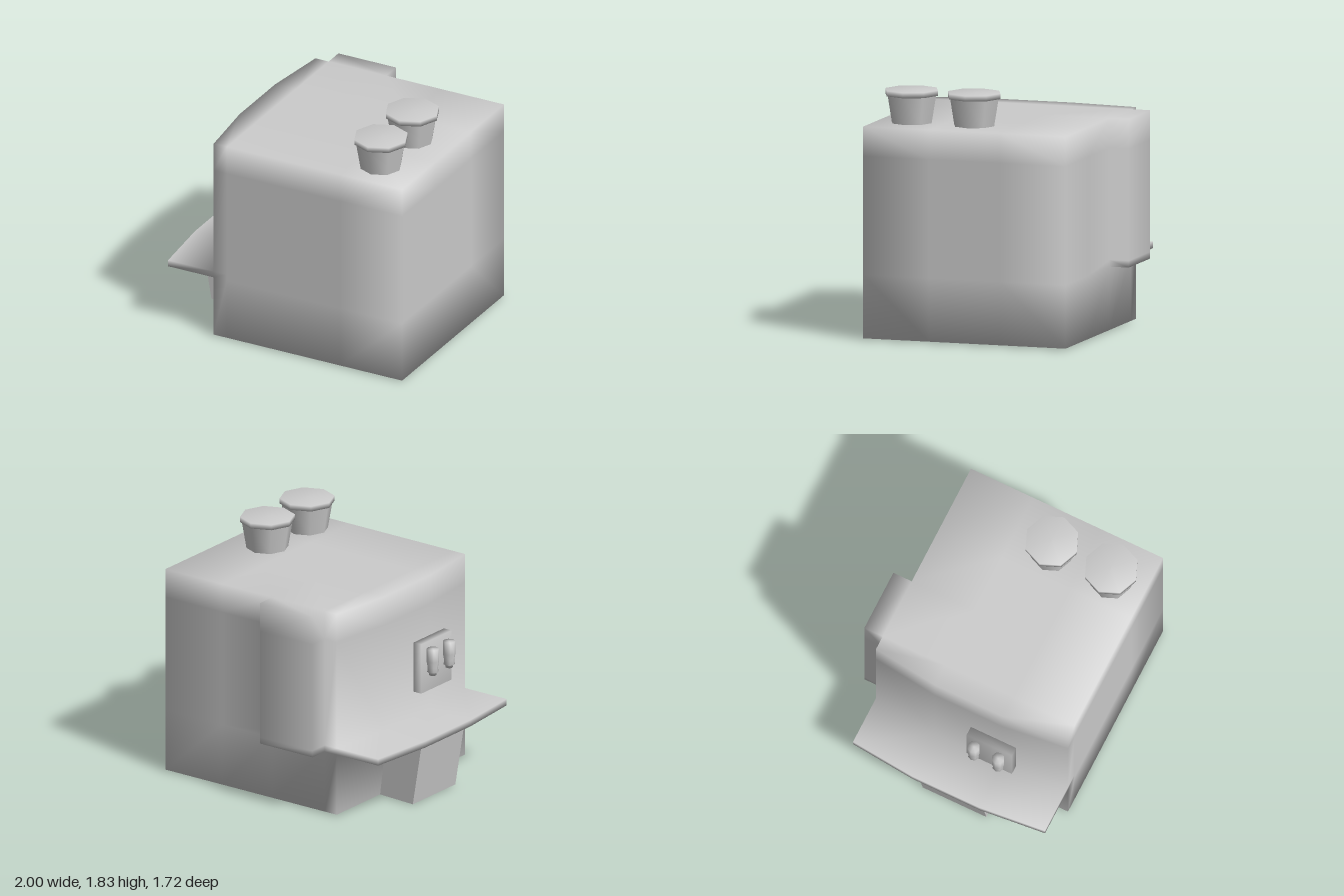
import * as THREE from 'three';
import { mergeVertices } from 'three/addons/utils/BufferGeometryUtils.js';

const mat = new THREE.MeshStandardMaterial({ color: 0xcccccc, side: THREE.DoubleSide });

function add(parent, name, geometry, x = 0, y = 0, z = 0) {
  const mesh = new THREE.Mesh(geometry, mat);
  mesh.name = name;
  mesh.position.set(x, y, z);
  parent.add(mesh);
  return mesh;
}

// Share corners so the shading runs smoothly around the edges
function smooth(geometry) {
  geometry.deleteAttribute('normal');
  geometry.deleteAttribute('uv');
  const merged = mergeVertices(geometry);
  merged.computeVertexNormals();
  return merged;
}

// Cabinet, counter and rear housing: one skin wrapped around the filled cells of a grid
function cabinetGeometry() {
  const loops = [
    [-1, -0.57, -0.46, 0.02, 0.48, 1],
    [0.01, 0.48, 0.53, 1.36, 1.58],
    [-0.86, -0.71, -0.2, 0.35, 0.86],
  ];
  const filled = ([i, j, k]) => {
    if (i < 0 || j < 0 || k < 0 || i > 4 || j > 3 || k > 3) return false;
    if (k === 0) return i === 2 && j >= 1; // rear housing
    if (i === 0) return j === 1; // counter
    return true;
  };
  // The serving side bows outwards in the middle
  const corner = ([i, j, k]) => {
    let x = loops[0][i];
    const middle = k === 2 || k === 3;
    if (i === 0 && !middle) x = -0.95;
    if (i === 1 && middle && j > 0) x = -0.63;
    return [x, loops[1][j], loops[2][k]];
  };
  const positions = [];
  for (let i = 0; i < 5; i++) for (let j = 0; j < 4; j++) for (let k = 0; k < 4; k++) {
    const cell = [i, j, k];
    if (!filled(cell)) continue;
    for (let a = 0; a < 3; a++) for (const side of [0, 1]) {
      const next = [...cell];
      next[a] += side ? 1 : -1;
      if (filled(next)) continue;
      const quad = [[0, 0], [1, 0], [1, 1], [0, 1]].map(([u, v]) => {
        const p = [...cell];
        p[a] += side;
        p[(a + 1) % 3] += u;
        p[(a + 2) % 3] += v;
        return corner(p);
      });
      if (!side) quad.reverse();
      for (const n of [0, 1, 2, 0, 2, 3]) positions.push(...quad[n]);
    }
  }
  const g = new THREE.BufferGeometry();
  g.setAttribute('position', new THREE.Float32BufferAttribute(positions, 3));
  const merged = mergeVertices(g);
  merged.computeVertexNormals();
  return merged;
}

// Slanted block that carries the counter
function supportGeometry() {
  const g = new THREE.BoxGeometry(1, 1, 0.52);
  const p = g.attributes.position;
  for (let i = 0; i < p.count; i++) {
    const outer = p.getX(i) < 0, top = p.getY(i) > 0;
    const x = top ? (outer ? -0.95 : -0.62) : (outer ? -0.87 : -0.57);
    const y = top ? 0.48 : (outer ? 0 : 0.01);
    p.setXYZ(i, x, y, p.getZ(i) + 0.08);
  }
  g.computeVertexNormals();
  return g;
}

function lathe(profile) {
  return new THREE.LatheGeometry(profile.map(([r, y]) => new THREE.Vector2(r, y)), 8);
}

export function createModel() {
  const model = new THREE.Group();
  model.name = 'servingMachine';

  add(model, 'cabinet', cabinetGeometry());
  add(model, 'counterSupport', supportGeometry());

  // Two lidded cups on the roof
  for (const z of [0.11, 0.595]) {
    const cup = new THREE.Group();
    cup.name = 'roofCup';
    cup.position.set(0.68, 1.58, z);
    add(cup, 'cupBody', lathe([[0.155, 0], [0.19, 0.21]]));
    add(cup, 'cupLid', lathe([[0, 0.205], [0.203, 0.205], [0.203, 0.245], [0, 0.248]]));
    model.add(cup);
  }

  // Tap plate with two spouts
  add(model, 'tapPlate', smooth(new THREE.BoxGeometry(0.07, 0.385, 0.37)), -0.695, 0.94, 0.295);
  for (const z of [0.19, 0.39]) {
    add(model, 'spout', lathe([
      [0, 0], [0.027, 0], [0.03, 0.02], [0.042, 0.025], [0.038, 0.06], [0.047, 0.11], [0.047, 0.205], [0, 0.205],
    ]), -0.776, 0.882, z);
  }
  return model;
}
